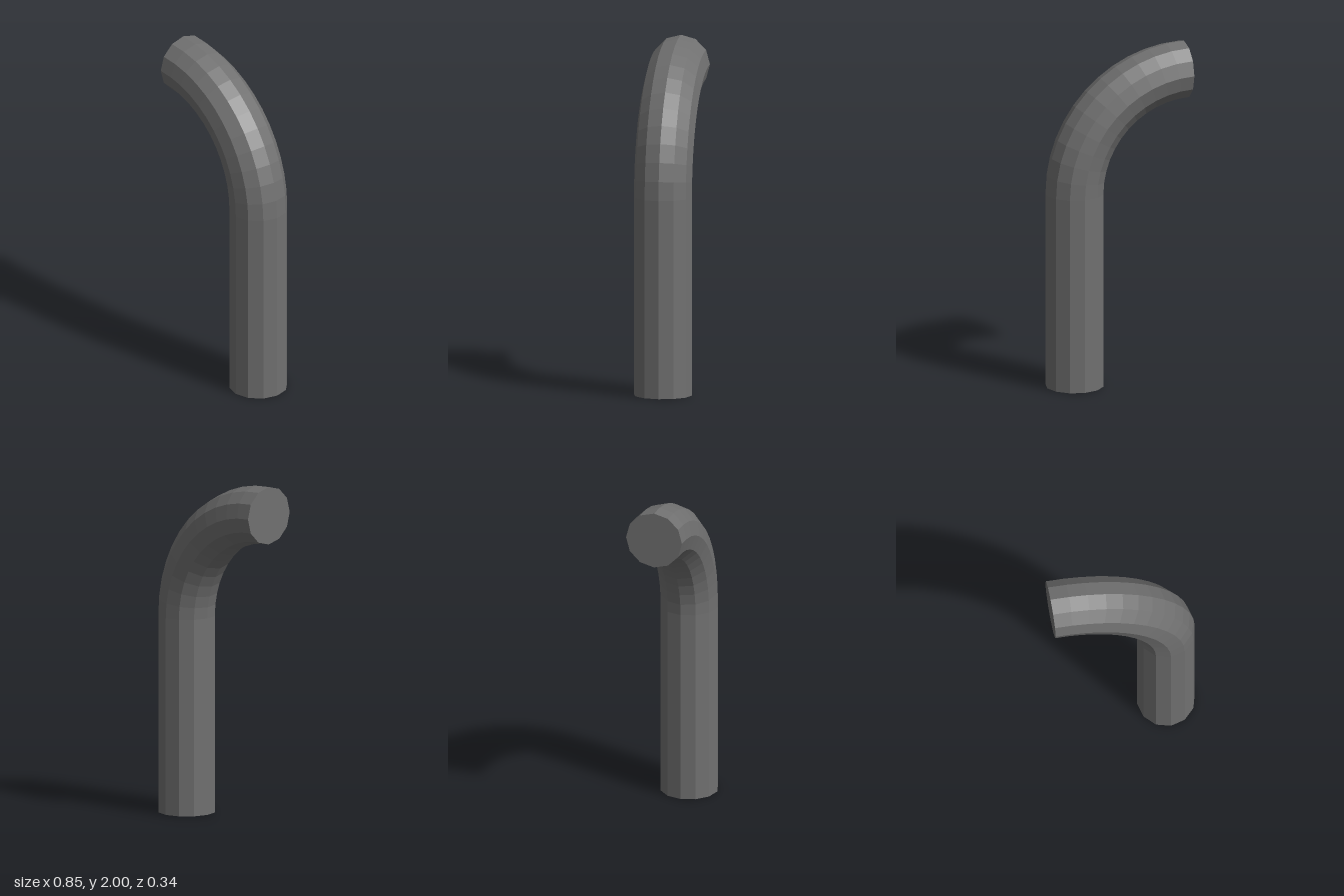
import * as THREE from 'three';

const SIDES = 12;
const RADIUS = 0.169; // pipe radius
const BEND = 0.676; // bend radius along the pipe's centre line
const BEND_X = -0.4225; // centre of the bend
const BEND_Y = 1.155;

export function createModel() {
  const group = new THREE.Group();
  group.name = 'bentPipe';
  const material = new THREE.MeshStandardMaterial({ color: 0x707070, flatShading: true });

  const add = (name, geometry, x, y) => {
    const mesh = new THREE.Mesh(geometry, material);
    mesh.name = name;
    mesh.position.set(x, y, 0);
    group.add(mesh);
    return mesh;
  };

  // Straight upright length
  add('uprightPipe', new THREE.CylinderGeometry(RADIUS, RADIUS, BEND_Y, SIDES, 1, true), BEND_X + BEND, BEND_Y / 2);

  // Quarter-turn elbow
  add('elbow', new THREE.TorusGeometry(BEND, RADIUS, SIDES, 12, Math.PI / 2), BEND_X, BEND_Y);

  // Flat end caps
  const cap = new THREE.CircleGeometry(RADIUS, SIDES);
  add('bottomCap', cap, BEND_X + BEND, 0).rotation.x = Math.PI / 2;
  add('spoutCap', cap, BEND_X, BEND_Y + BEND).rotation.y = -Math.PI / 2;

  return group;
}
